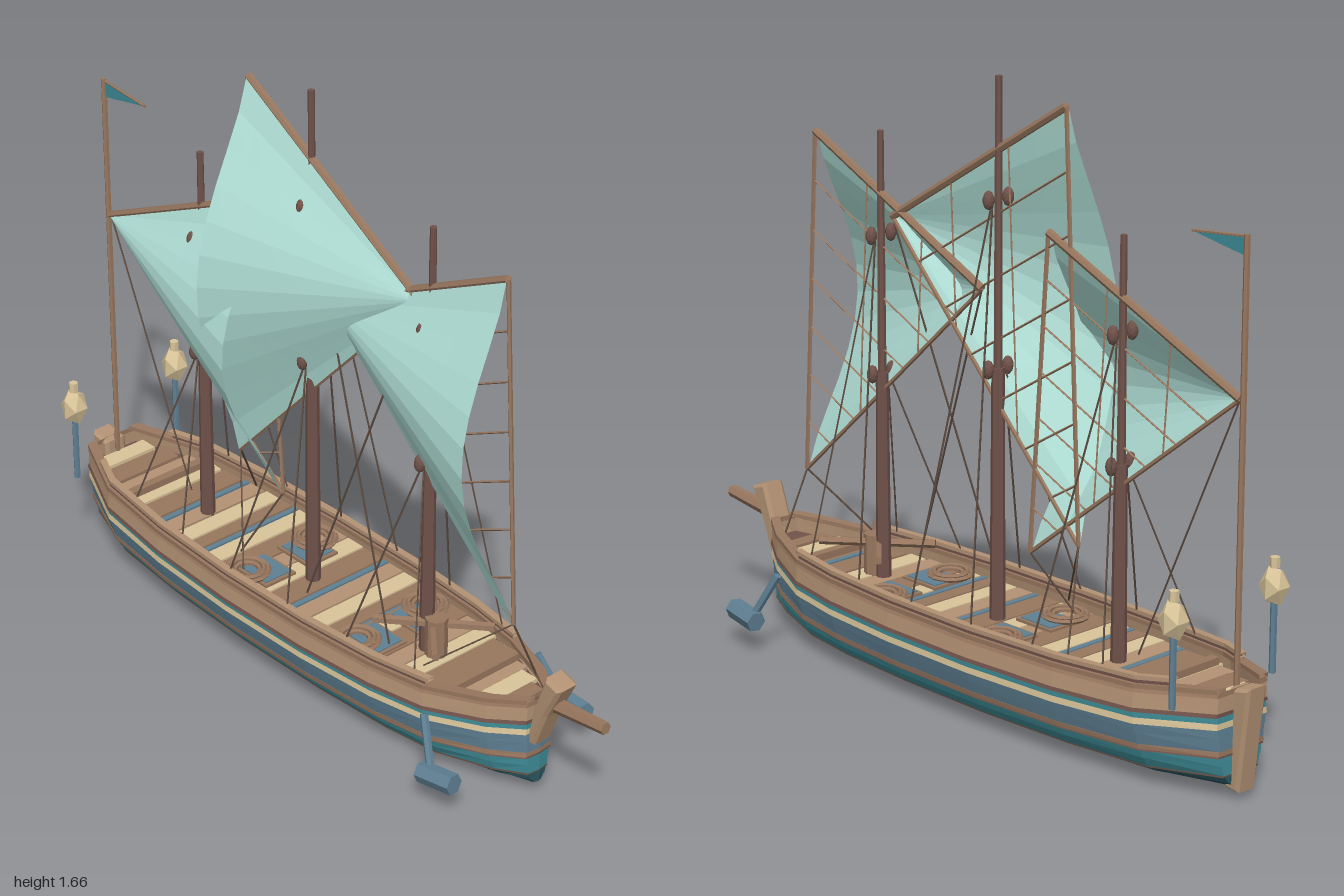
import * as THREE from 'three';

const mat = (name, color) => {
  const m = new THREE.MeshStandardMaterial({ color, flatShading: true, side: THREE.DoubleSide });
  m.name = name;
  return m;
};
const M = {
  brown: mat('timber brown', 0x98775f), light: mat('light timber', 0xb39274),
  dark: mat('dark timber', 0x70524a), tan: mat('pale tan', 0xdac59a),
  teal: mat('teal paint', 0x3f8c97), deep: mat('deep teal', 0x2b5862),
  slate: mat('slate blue', 0x5f8093), sail: mat('aqua sailcloth', 0xb6e6dd),
  rope: mat('rope', 0x5c4b40),
};
const V = (x, y, z = 0) => new THREE.Vector3(x, y, z);

// Hull stations: x, half width, lift
const ST = [[-0.955, 0, 0.028], [-0.95, 0.085, 0.028], [-0.75, 0.175, 0.012], [-0.5, 0.205, 0.004],
  [-0.2, 0.218, 0], [0.1, 0.215, 0], [0.35, 0.197, 0.002], [0.52, 0.168, 0.006],
  [0.68, 0.1, 0.02], [0.77, 0.042, 0.033], [0.775, 0, 0.033]];
function station(x) {
  let i = 0;
  while (i < ST.length - 2 && ST[i + 1][0] < x) i++;
  const t = THREE.MathUtils.clamp((x - ST[i][0]) / (ST[i + 1][0] - ST[i][0]), 0, 1);
  return [x, THREE.MathUtils.lerp(ST[i][1], ST[i + 1][1], t), THREE.MathUtils.lerp(ST[i][2], ST[i + 1][2], t)];
}

export function createModel() {
  const root = new THREE.Group();
  root.name = 'sailingShip';
  const add = (name, geo, m) => {
    const mesh = new THREE.Mesh(geo, m);
    mesh.name = name;
    root.add(mesh);
    return mesh;
  };
  const box = (name, w, h, d, x, y, z, m) => {
    const b = add(name, new THREE.BoxGeometry(w, h, d), m);
    b.position.set(x, y, z);
    return b;
  };
  // Round bar between two points
  const bar = (name, a, b, r, m, sides = 5, rTop = r) => {
    const d = b.clone().sub(a);
    const c = add(name, new THREE.CylinderGeometry(rTop, r, d.length(), sides), m);
    c.position.copy(a).add(b).multiplyScalar(0.5);
    c.quaternion.setFromUnitVectors(V(0, 1, 0), d.normalize());
    return c;
  };
  // Loft mirrored cross-sections along the stations; profile maps a station to [z, y] points
  const loft = (name, stations, profile, m) => {
    const pos = [];
    for (const s of [1, -1]) {
      for (let i = 0; i < stations.length - 1; i++) {
        const A = profile(stations[i]), B = profile(stations[i + 1]);
        const xa = stations[i][0], xb = stations[i + 1][0];
        for (let j = 0; j < A.length - 1; j++) {
          const p = [[xa, A[j]], [xb, B[j]], [xb, B[j + 1]], [xa, A[j + 1]]];
          const order = s > 0 ? [0, 1, 2, 0, 2, 3] : [0, 2, 1, 0, 3, 2];
          for (const k of order) pos.push(p[k][0], p[k][1][1], s * p[k][1][0]);
        }
      }
    }
    const g = new THREE.BufferGeometry();
    g.setAttribute('position', new THREE.Float32BufferAttribute(pos, 3));
    g.computeVertexNormals();
    return add(name, g, m);
  };

  // Lapped strakes: lower y, lower width, upper y, upper width, overhang, colour
  const strakes = [
    [0.003, 0, 0.005, 0.25, 0, 'deep'], [0.005, 0.25, 0.018, 0.48, 0.004, 'deep'],
    [0.018, 0.48, 0.036, 0.64, 0.004, 'deep'], [0.036, 0.64, 0.04, 0.66, 0.008, 'rope'],
    [0.04, 0.66, 0.066, 0.76, 0.004, 'teal'], [0.066, 0.76, 0.09, 0.82, 0.005, 'teal'],
    [0.09, 0.82, 0.095, 0.835, 0.01, 'dark'], [0.095, 0.835, 0.108, 0.87, 0.01, 'brown'],
    [0.108, 0.87, 0.14, 0.92, 0.004, 'slate'], [0.14, 0.92, 0.166, 0.96, 0.005, 'slate'],
    [0.166, 0.96, 0.182, 0.97, 0.008, 'tan'], [0.182, 0.97, 0.198, 0.98, 0.004, 'teal'],
    [0.198, 0.98, 0.208, 0.985, 0.009, 'dark'], [0.208, 0.985, 0.248, 0.97, 0.005, 'light'],
    [0.248, 0.97, 0.262, 0.95, 0.007, 'brown'],
  ];
  strakes.forEach(([y0, f0, y1, f1, lap, c], i) => loft('hullStrake' + i, ST, ([, w, l]) => {
    const e = lap * Math.min(1, w / 0.04);
    return [[w * f0, y0 + l], [w * f0 + e, y0 + l], [w * f1 + e * 0.5, y1 + l], [w * f1, y1 + l]];
  }, M[c]));
  const rail = (name, x0, x1, y0, y1, inner, outer, m) => {
    const list = [station(x0), ...ST.filter((s) => s[0] > x0 && s[0] < x1), station(x1)];
    loft(name, list, ([, w, l]) => {
      const a = Math.max(0, w * 0.96 - inner), b = w * 0.96 + outer;
      return [[a, y0 + l], [b, y0 + l], [b, y1 + l], [a, y1 + l], [a, y0 + l]];
    }, m);
  };
  rail('gunwale', -0.95, 0.77, 0.258, 0.27, 0.022, 0.008, M.brown);
  rail('railGap', -0.83, 0.52, 0.27, 0.279, 0.014, -0.001, M.dark);
  rail('topRail', -0.84, 0.53, 0.279, 0.29, 0.018, 0.002, M.light);
  bar('keel', V(-0.94, 0.03), V(-0.5, 0.008), 0.008, M.deep);
  box('keelMiddle', 1.05, 0.012, 0.03, 0, 0.006, 0, M.deep);

  // Deck with cross planks: colour and width, repeating
  loft('deckBase', ST, ([, w, l]) => [[w * 0.96, 0.212 + l], [0, 0.212 + l]], M.dark);
  const planks = [['tan', 0.06], ['brown', 0.075], ['light', 0.06], ['tan', 0.065], ['brown', 0.08], ['slate', 0.022],
    ['light', 0.06], ['tan', 0.06], ['brown', 0.05], ['slate', 0.022]];
  for (let i = 0, x = -0.93; x < 0.7; i++) {
    const [c, step] = planks[i % planks.length];
    const w = Math.min(station(x)[1], station(x + step)[1]);
    box('deckPlank', step - 0.006, 0.012, w * 1.88, x + step / 2, 0.222 + station(x + step / 2)[2], 0, M[c]);
    x += step;
  }
  for (const x of [-0.72, 0.55]) box('thwart', 0.025, 0.02, station(x)[1] * 1.7, x, 0.25, 0, M.brown);
  for (const x of [-0.22, 0.22]) {
    for (const s of [-1, 1]) {
      box('hatchFrame', 0.13, 0.012, 0.105, x + 0.02, 0.23, s * 0.075, M.brown);
      box('hatch', 0.11, 0.016, 0.088, x + 0.02, 0.231, s * 0.075, M.slate);
      for (let k = 0; k < 3; k++) {
        const coil = add('ropeCoil', new THREE.TorusGeometry(0.058 - k * 0.012, 0.007, 5, 16), M.brown);
        coil.rotation.x = Math.PI / 2;
        coil.position.set(x, 0.243 + (k % 2) * 0.006, s * 0.12);
      }
    }
  }

  // Stern post, stem and bowsprit
  const post = (name, pts, depth, m) => {
    const g = new THREE.ExtrudeGeometry(new THREE.Shape(pts.map(([x, y]) => new THREE.Vector2(x, y))),
      { depth: depth - 0.02, bevelThickness: 0.01, bevelSize: 0.008, bevelOffset: -0.008, bevelSegments: 1 });
    g.translate(0, 0, 0.01 - depth / 2);
    return add(name, g, m);
  };
  post('sternPost', [[-0.97, 0.02], [-0.925, 0.025], [-0.935, 0.285], [-1, 0.297]], 0.07, M.light);
  post('stem', [[0.755, 0.165], [0.783, 0.165], [0.82, 0.27], [0.868, 0.37], [0.815, 0.388], [0.78, 0.29]], 0.07, M.light);
  bar('bowsprit', V(0.81, 0.297), V(0.997, 0.318), 0.021, M.brown, 6, 0.017);

  // Capstan with crossed bars
  bar('capstan', V(0.39, 0.22), V(0.39, 0.342), 0.03, M.brown, 8);
  for (const a of [0.7, -0.7]) {
    const c = Math.cos(a) * 0.155, s = Math.sin(a) * 0.16;
    bar('capstanBar', V(0.38 - c, 0.32, -s), V(0.38 + c, 0.32, s), 0.012, M.brown);
  }

  // Masts with blocks and shrouds: x, top, lower block, upper block
  const masts = [[-0.53, 1.33, 0.75, 1.085], [-0.09, 1.657, 0.905, 1.345], [0.355, 1.45, 0.8, 1.175]];
  for (const [x, top, b0, b1] of masts) {
    bar('lowerMast', V(x, 0.21), V(x, b0), 0.021, M.dark, 8, 0.017);
    bar('upperMast', V(x, b0 - 0.04), V(x, top), 0.012, M.dark, 7, 0.009);
    for (const y of [b0, b1]) {
      for (const s of [-1, 1]) {
        const b = add('block', new THREE.IcosahedronGeometry(0.017, 1), M.dark);
        b.scale.set(0.9, 1.5, 0.9);
        b.position.set(x, y, s * 0.034);
      }
    }
    for (const [s, dx, y] of [[-1, -0.11, b1], [-1, 0.12, b1], [1, -0.11, b0], [1, 0.12, b0]]) {
      bar('shroud', V(x, y, s * 0.02), V(x + dx, 0.28, s * (station(x + dx)[1] - 0.02)), 0.0028, M.rope, 4);
    }
  }

  // Lateen sails: tack, peak, clew, belly
  const sails = [
    ['aft', V(-0.92, 1.0), V(-0.27, 1.29), V(-0.21, 0.44), 0.172],
    ['main', V(0.31, 1.23), V(-0.33, 1.615), V(-0.385, 0.5), 0.155],
    ['fore', V(-0.03, 1.1), V(0.615, 1.41), V(0.668, 0.46), 0.16],
  ];
  for (const [name, tack, peak, clew, belly] of sails) {
    const at = (u, v) => tack.clone().lerp(peak.clone().lerp(clew, v), u);
    const g = new THREE.PlaneGeometry(1, 1, 10, 12);
    const p = g.attributes.position;
    for (let i = 0; i < p.count; i++) {
      const u = p.getX(i) + 0.5, v = 0.5 - p.getY(i), q = at(u, v);
      const swell = Math.pow(Math.max(0, Math.sin(Math.PI * v)), 1.4);
      p.setXYZ(i, q.x, q.y, 0.006 + belly * Math.pow(u, 0.95) * swell);
    }
    g.computeVertexNormals();
    add(name + 'Sail', g, M.sail);
    // Yard and flat frame of battens behind the cloth
    bar(name + 'Yard', tack, peak, 0.011, M.brown, 6);
    bar(name + 'FootSpar', tack, clew, 0.006, M.brown);
    bar(name + 'LeechSpar', peak, clew, 0.006, M.brown);
    for (let k = 1; k < 7; k++) {
      const t = k / 7;
      bar(name + 'Batten', at(1, t), at(t, 1), 0.003, M.brown, 4);
    }
    for (const u of [0.35, 0.68]) bar(name + 'Crosspiece', at(u, 0), at(u, 1), 0.003, M.brown, 4);
  }

  // Running lines from sail corners to the deck
  const lines = [
    [-0.92, 1.0, -0.6, 0], [-0.21, 0.44, -0.27, 0.1], [-0.385, 0.5, -0.2, 0.15], [-0.385, 0.5, -0.5, -0.15],
    [0.31, 1.23, 0, 0.1], [-0.03, 1.1, 0.32, 0.1], [0.668, 0.46, 0.45, 0.1], [0.668, 0.46, 0.68, -0.08],
  ];
  for (const [x0, y0, x1, z1] of lines) bar('line', V(x0, y0), V(x1, 0.27, z1), 0.0028, M.rope, 4);

  // Flagpole and pennant
  bar('flagpole', V(-0.93, 0.25), V(-0.93, 1.402), 0.008, M.brown, 6);
  const flag = new THREE.Shape([[-0.93, 1.395], [-0.755, 1.38], [-0.92, 1.35]].map(([x, y]) => new THREE.Vector2(x, y)));
  add('pennant', new THREE.ShapeGeometry(flag), M.teal);
  bar('pennantSpar', V(-0.93, 1.397), V(-0.755, 1.381), 0.004, M.brown);

  for (const s of [-1, 1]) {
    // Stern lantern
    bar('lanternPost', V(-0.885, 0.255, s * 0.178), V(-0.885, 0.45, s * 0.178), 0.009, M.slate, 6);
    const lamp = add('lantern', new THREE.IcosahedronGeometry(0.039, 0), M.tan);
    lamp.scale.y = 1.4;
    lamp.position.set(-0.885, 0.482, s * 0.178);
    bar('lanternCap', V(-0.885, 0.53, s * 0.178), V(-0.885, 0.557, s * 0.178), 0.013, M.tan, 6);
    // Bow paddle
    bar('paddleArm', V(0.56, 0.225, s * 0.2), V(0.62, 0.11, s * 0.232), 0.011, M.slate, 6);
    bar('paddleHead', V(0.6, 0.092, s * 0.245), V(0.708, 0.102, s * 0.232), 0.029, M.slate, 6);
  }
  return root;
}
